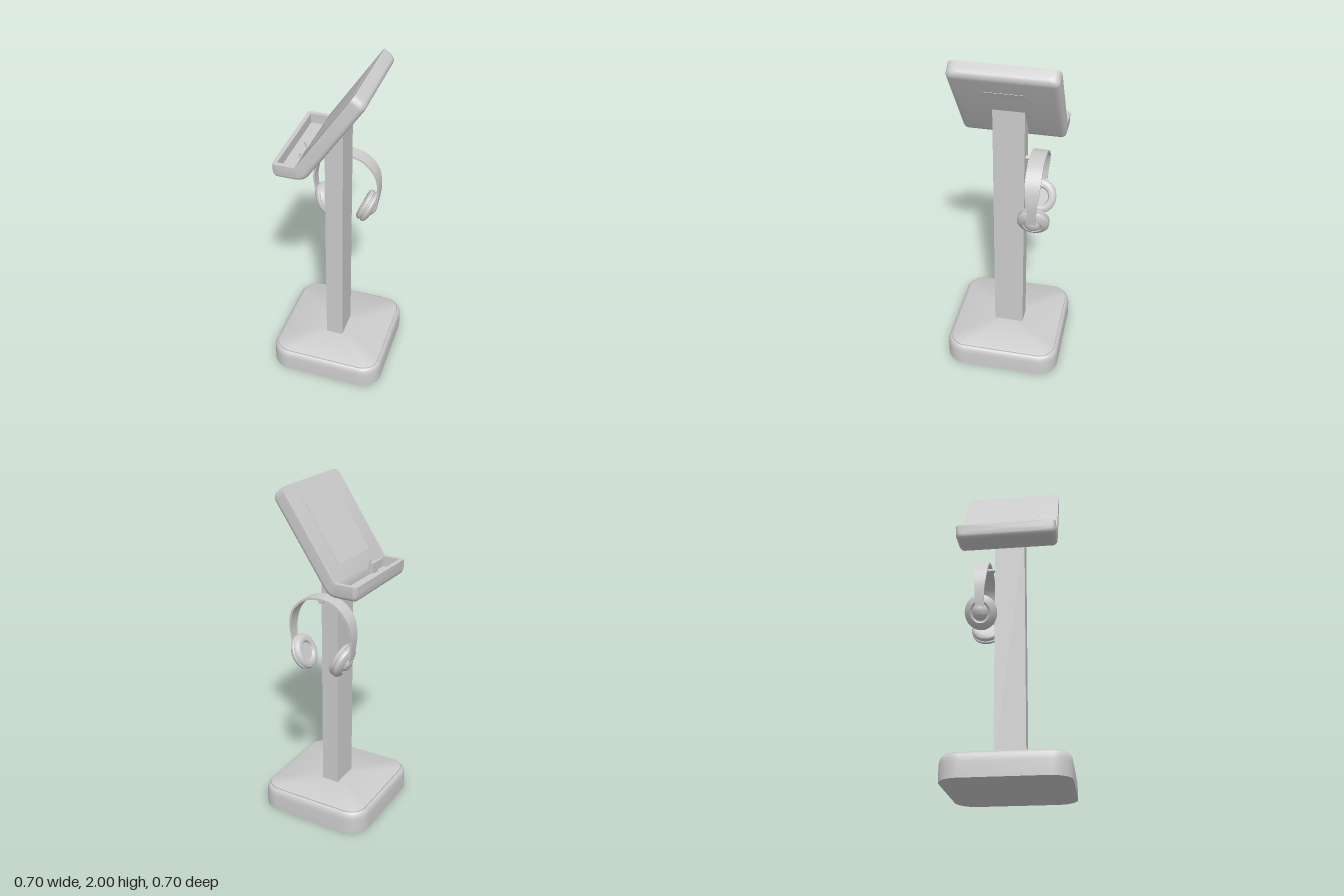
import * as THREE from 'three';
import { toCreasedNormals } from 'three/addons/utils/BufferGeometryUtils.js';

const grey = new THREE.MeshStandardMaterial({ color: 0xcccccc });

function add(parent, name, geometry, x = 0, y = 0, z = 0) {
  const mesh = new THREE.Mesh(geometry, grey);
  mesh.name = name;
  mesh.position.set(x, y, z);
  parent.add(mesh);
  return mesh;
}

// Skin a list of equal-length closed loops and cap both ends
function loft(rings, crease = 0.6) {
  const n = rings[0].length, pos = [], index = [];
  rings.forEach(r => r.forEach(p => pos.push(p.x, p.y, p.z)));
  for (let i = 0; i < rings.length - 1; i++)
    for (let j = 0; j < n; j++) {
      const a = i * n + j, b = i * n + (j + 1) % n;
      index.push(a, b, b + n, a, b + n, a + n);
    }
  [0, rings.length - 1].forEach(i => {
    const c = new THREE.Vector3();
    rings[i].forEach(p => c.addScaledVector(p, 1 / n));
    const k = pos.length / 3;
    pos.push(c.x, c.y, c.z);
    for (let j = 0; j < n; j++) {
      const a = i * n + j, b = i * n + (j + 1) % n;
      if (i) index.push(k, a, b); else index.push(k, b, a);
    }
  });
  const g = new THREE.BufferGeometry();
  g.setAttribute('position', new THREE.Float32BufferAttribute(pos, 3));
  g.setIndex(index);
  return toCreasedNormals(g.toNonIndexed(), crease);
}

// Rounded square at height y
function squareRing(y, half, r) {
  const ring = [];
  for (let q = 0; q < 4; q++)
    for (let s = 0; s <= 10; s++) {
      const t = (q + s / 10) * Math.PI / 2, m = (q + 0.5) * Math.PI / 2;
      ring.push(new THREE.Vector3(
        Math.sign(Math.cos(m)) * (half - r) + r * Math.cos(t), y,
        -Math.sign(Math.sin(m)) * (half - r) - r * Math.sin(t)));
    }
  return ring;
}

// Head: a thick sheet bent about the kink, tray on one side, screen on the other
const KINK = new THREE.Vector2(-0.153, 1.524);
const TILT = Math.atan2(0.476, 0.321), SLOPE = 0.574, TRAY = 0.132;
const WIDTH = 0.296, DEPTH = 0.085, CORNER = 0.042;

// u runs along the front face (0 at the kink), angle is the local direction
function headRing(u, angle, w, depth, bevel, recess) {
  const dx = Math.cos(angle), dy = Math.sin(angle), wi = Math.min(0.27, w - 0.005);
  const section = [[-w, 0], [-wi, 0], [-wi, recess], [wi, recess], [wi, 0], [w, 0]];
  for (const side of [1, -1])
    for (let s = 0; s <= 6; s++) {
      const t = (side > 0 ? s : 6 - s) / 6 * Math.PI / 2;
      section.push([side * (w - bevel + bevel * Math.cos(t)), depth - bevel + bevel * Math.sin(t)]);
    }
  return section.map(([z, d]) => new THREE.Vector3(
    KINK.x + u * dx + d * dy, KINK.y + u * dy - d * dx, z));
}

function headShell() {
  const rings = [], bevel = 0.03;
  const end = (s, u, sign, angle) => {
    const t = s / 6 * Math.PI / 2, k = 1 - Math.sin(t), r = sign > 0 ? 0.024 : CORNER;
    rings.push(headRing(u + sign * r * (1 - Math.cos(t)), angle,
      WIDTH - r * k, DEPTH - bevel * k, bevel, 0));
  };
  for (let s = 0; s <= 6; s++) end(s, -TRAY, 1, 0);
  for (const [u, recess] of [[-0.107, 0], [-0.107, 0.06], [-0.002, 0.06], [-0.002, 0]])
    rings.push(headRing(u, 0, WIDTH, DEPTH, bevel, recess));
  for (let s = 0; s <= 10; s++) rings.push(headRing(0, TILT * s / 10, WIDTH, DEPTH, bevel, 0));
  for (let s = 6; s >= 0; s--) end(s, SLOPE, -1, TILT);
  return loft(rings);
}

function createHead() {
  const head = new THREE.Group();
  head.name = 'head';
  add(head, 'headShell', headShell());
  const slope = new THREE.Group();
  slope.name = 'slopedDetails';
  slope.position.set(KINK.x, KINK.y, 0);
  slope.rotation.z = TILT;
  add(slope, 'screen', new THREE.BoxGeometry(0.43, 0.004, 0.344), 0.295, 0, 0.002);
  add(slope, 'rearPlate', new THREE.BoxGeometry(0.06, 0.004, 0.23), 0.396, -DEPTH, 0.005);
  head.add(slope);
  // Small holder in the tray
  add(head, 'trayClip', new THREE.BoxGeometry(0.024, 0.06, 0.06), -0.166, 1.5, 0.13);
  add(head, 'trayBlade', new THREE.BoxGeometry(0.008, 0.05, 0.09), -0.159, 1.495, 0.205);
  add(head, 'trayPin', new THREE.BoxGeometry(0.01, 0.08, 0.004), -0.158, 1.52, 0.086).rotation.z = 0.3;
  return head;
}

// Post with its top cut to the slope of the head
function postGeometry() {
  const shape = new THREE.Shape([[-0.055, 0.13], [0.05, 0.13], [0.05, 1.7], [-0.055, 1.54]]
    .map(p => new THREE.Vector2(...p)));
  return new THREE.ExtrudeGeometry(shape, { depth: 0.18, bevelEnabled: false }).translate(0, 0, -0.09);
}

// Headband: a flat strip along an arch, narrower toward its ends
function bandGeometry() {
  const half = [[0.18, 1.03], [0.191, 1.09], [0.197, 1.19], [0.172, 1.285], [0.1, 1.357]];
  const pts = [...half.map(([x, y]) => new THREE.Vector3(-x, y, 0)), new THREE.Vector3(0, 1.38, 0),
    ...half.slice().reverse().map(([x, y]) => new THREE.Vector3(x, y, 0))];
  const curve = new THREE.CatmullRomCurve3(pts), rings = [], N = 48;
  for (let i = 0; i <= N; i++) {
    const p = curve.getPointAt(i / N), t = curve.getTangentAt(i / N);
    const w = 0.026 + 0.019 * THREE.MathUtils.smoothstep(p.y, 1.08, 1.32), h = 0.006;
    rings.push([[h, -w], [h, w], [-h, w], [-h, -w]].map(([n, z]) =>
      new THREE.Vector3(p.x - t.y * n, p.y + t.x * n, z)));
  }
  return loft(rings);
}

function createHeadphones() {
  const phones = new THREE.Group();
  phones.name = 'headphones';
  phones.position.z = -0.16;
  add(phones, 'headband', bandGeometry());
  // Ear cup turned from the hollow cushion out to the domed cap
  const profile = [[0, 0.016], [0.048, 0.016], [0.056, 0.003], [0.066, 0], [0.082, 0.002], [0.094, 0.012],
    [0.098, 0.026], [0.091, 0.031], [0.091, 0.036], [0.098, 0.041], [0.096, 0.054], [0.084, 0.066],
    [0.06, 0.074], [0.052, 0.068], [0.046, 0.068], [0.042, 0.078], [0.03, 0.087], [0.015, 0.092], [0, 0.094]]
    .map(p => new THREE.Vector2(...p));
  const cup = toCreasedNormals(
    new THREE.LatheGeometry(profile, 36).scale(1.06, 1, 0.96).toNonIndexed(), 0.6);
  for (const side of ['left', 'right']) {
    const holder = new THREE.Group();
    holder.name = side + 'EarCup';
    if (side === 'right') holder.rotation.y = Math.PI;
    add(holder, 'earCup', cup, 0.096, 1.036).rotation.z = -114 * Math.PI / 180;
    phones.add(holder);
  }
  return phones;
}

export function createModel() {
  const model = new THREE.Group();
  model.name = 'kioskStand';
  // Base with rounded rim and inset top plate
  const rim = [[0, 0.35], [0.085, 0.35], [0.105, 0.348], [0.12, 0.344], [0.13, 0.337], [0.134, 0.33],
    [0.129, 0.328], [0.129, 0.325], [0.138, 0.325], [0.141, 0.32]];
  add(model, 'base', loft(rim.map(([y, half]) => squareRing(y, half, half - 0.23))));
  add(model, 'post', postGeometry());
  model.add(createHead());
  // Peg carrying the headphones
  add(model, 'peg', new THREE.CylinderGeometry(0.013, 0.013, 0.11, 20).rotateX(Math.PI / 2), 0, 1.361, -0.135);
  model.add(createHeadphones());
  return model;
}
